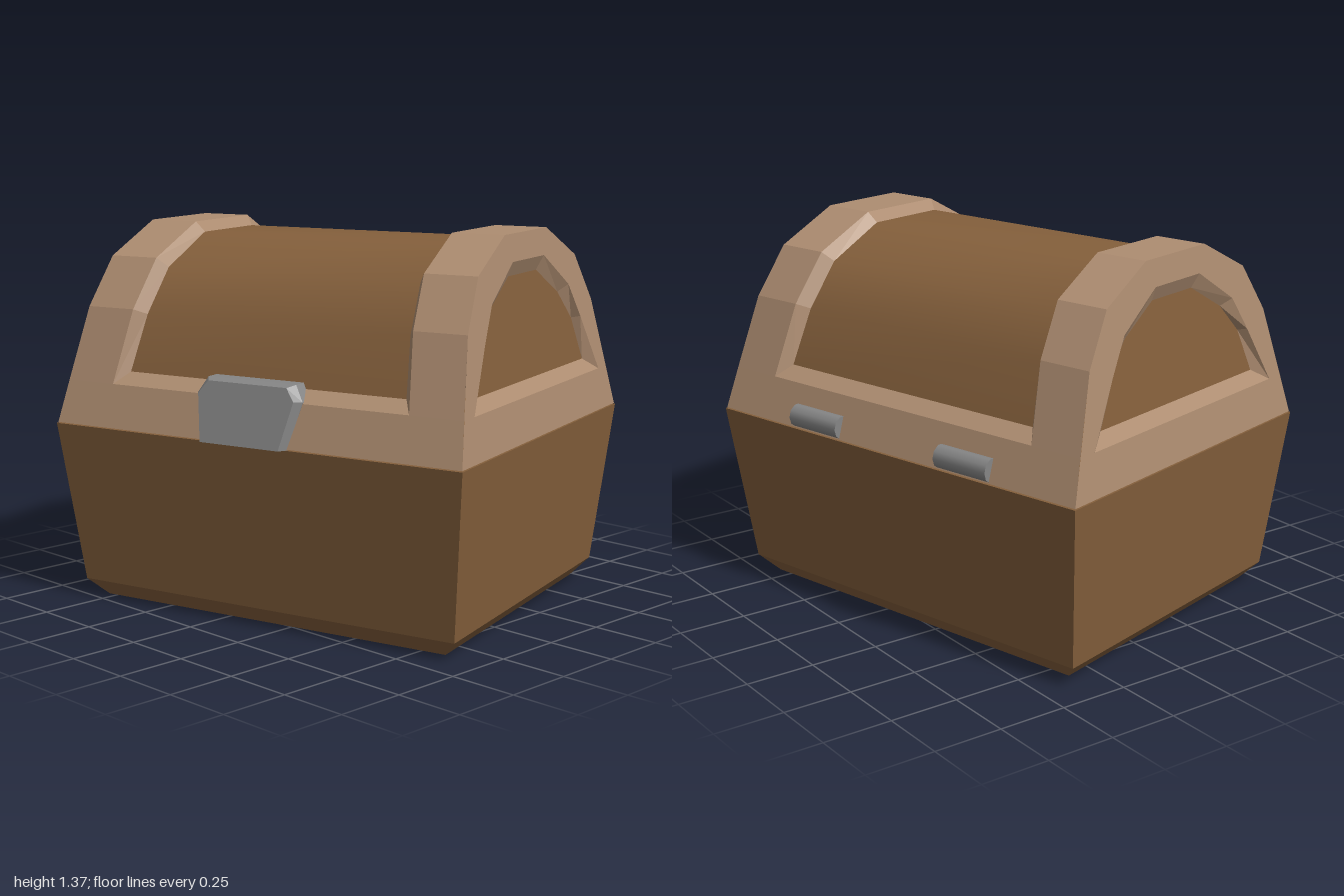
import * as THREE from 'three';

const DS = THREE.DoubleSide;
const V = (x, y, z) => new THREE.Vector3(x, y, z);

// Chest axes: turned about y, with a trace of skew and tilt
const pose = new THREE.Matrix4()
  .makeBasis(V(0.972, 0.001, -0.236), V(0, 1, 0), V(0.279, -0.009, 0.96))
  .setPosition(0, 0.006, 0);

// Quads between two matching rows of points
function strip(a, b, closed = false) {
  const out = [];
  const n = closed ? a.length : a.length - 1;
  for (let i = 0; i < n; i++) {
    const j = (i + 1) % a.length;
    out.push(a[i], a[j], b[j], a[i], b[j], b[i]);
  }
  return out;
}

// Fan filling a convex loop
function fan(loop) {
  const out = [];
  for (let i = 1; i < loop.length - 1; i++) out.push(loop[0], loop[i], loop[i + 1]);
  return out;
}

function flatGeometry(points) {
  const g = new THREE.BufferGeometry().setFromPoints(points);
  g.computeVertexNormals();
  return g;
}

// Mirror half a [z, y] arch to a full one, front to back
const arch = (half) => [...half, ...half.slice().reverse().map(([z, y]) => [-z, y])];

export function createModel() {
  const group = new THREE.Group();
  const brown = new THREE.MeshStandardMaterial({ color: 0x85603c, side: DS });
  brown.name = 'brown wood';
  const tan = new THREE.MeshStandardMaterial({ color: 0xae8d71, side: DS });
  tan.name = 'tan frame';
  const grey = new THREE.MeshStandardMaterial({ color: 0x868686 });
  grey.name = 'grey metal';

  function add(name, geometry, material) {
    geometry.applyMatrix4(pose);
    const mesh = new THREE.Mesh(geometry, material);
    mesh.name = name;
    group.add(mesh);
  }

  // Tapered base with a bevelled foot
  const ring = (x, y, z) => [V(-x, y, z), V(x, y, z), V(x, y, -z), V(-x, y, -z)];
  const foot = ring(0.708, 0, 0.545);
  const bevel = ring(0.768, 0.065, 0.603);
  const rim = ring(0.828, 0.657, 0.682);
  add('base', flatGeometry([
    ...fan(foot.slice().reverse()),
    ...strip(foot, bevel, true),
    ...strip(bevel, rim, true),
    ...fan(rim),
  ]), brown);

  // Lid cross-sections
  const outer = arch([[0.677, 0.66], [0.628, 0.81], [0.54, 1.07], [0.42, 1.245], [0.18, 1.36]]);
  const recessOuter = arch([[0.55, 0.81], [0.42, 1.02], [0.335, 1.145], [0.135, 1.266]]);
  const recessInner = arch([[0.47, 0.855], [0.4, 1.015], [0.295, 1.12], [0.12, 1.215]]);
  const barrel = arch([[0.57, 0.85], [0.495, 1.05], [0.385, 1.21], [0.165, 1.322]]);
  const endX = (y) => 0.825 - 0.125 * (y - 0.66);
  const bandX = (y) => 0.625 - 0.125 * (y - 0.66);
  const row = (profile, xOf, side) => profile.map(([z, y]) => V(side * xOf(y), y, z));

  const frame = [];
  for (const s of [-1, 1]) {
    const edge = row(outer, endX, s);
    const inner = row(outer, bandX, s);
    const mouth = row(recessOuter, endX, s);
    const floor = row(recessInner, (y) => endX(y) - 0.03, s);
    // Loop without the sill points, matching the recess loop
    const endLoop = edge.filter((p, i) => i !== 1 && i !== 8);
    frame.push(...strip(edge, inner));
    frame.push(...strip(endLoop, mouth, true));
    frame.push(...strip(mouth, floor, true));
    // Wall down to the barrel
    frame.push(...strip(inner.slice(1, 9), row(barrel, (y) => bandX(y) - 0.035, s)));
    add(s > 0 ? 'leftEndPanel' : 'rightEndPanel', flatGeometry(fan(floor)), brown);
  }
  // Front and back rails with their sills
  for (const s of [-1, 1]) {
    const line = (x, y, z) => [V(-x, y, s * z), V(x, y, s * z)];
    const low = line(bandX(0.66), 0.66, 0.677);
    const top = line(bandX(0.81), 0.81, 0.628);
    const sill = line(bandX(0.85) - 0.035, 0.85, 0.57);
    frame.push(...strip(low, top), ...strip(top, sill));
  }
  add('lidFrame', flatGeometry(frame), tan);

  // Smooth barrel panel of the lid
  const a = row(barrel, (y) => bandX(y) - 0.035, -1);
  const b = row(barrel, (y) => bandX(y) - 0.035, 1);
  const panel = new THREE.BufferGeometry().setFromPoints([...a, ...b]);
  const index = [];
  for (let i = 0; i < a.length - 1; i++) {
    const k = i + a.length;
    index.push(i, k, k + 1, i, k + 1, i + 1);
  }
  panel.setIndex(index);
  panel.computeVertexNormals();
  add('lidPanel', panel, brown);

  // Latch: chamfered six-sided plate leaning with the lid
  const hexagon = (w, wide, y0, y1, y2, z) => [
    [-w, y0], [w, y0], [wide, y1], [w, y2], [-w, y2], [-wide, y1],
  ].map(([x, y]) => V(x - 0.015, y, z - 0.29 * (y - 0.657)));
  const latchBack = hexagon(0.18, 0.215, 0.657, 0.815, 0.87, 0.57);
  const latchSide = hexagon(0.18, 0.215, 0.657, 0.815, 0.87, 0.675);
  const latchFront = hexagon(0.16, 0.195, 0.657, 0.818, 0.862, 0.705);
  add('latch', flatGeometry([
    ...fan(latchFront),
    ...strip(latchSide, latchFront, true),
    ...strip(latchBack, latchSide, true),
    ...fan(latchBack.slice().reverse()),
  ]), grey);

  // Two hinge barrels on the back
  for (const s of [-1, 1]) {
    const hinge = new THREE.CylinderGeometry(0.043, 0.043, 0.23, 10);
    hinge.rotateZ(Math.PI / 2);
    hinge.translate(s * 0.348, 0.7, -0.655);
    add(s > 0 ? 'leftHinge' : 'rightHinge', hinge, grey);
  }

  return group;
}
